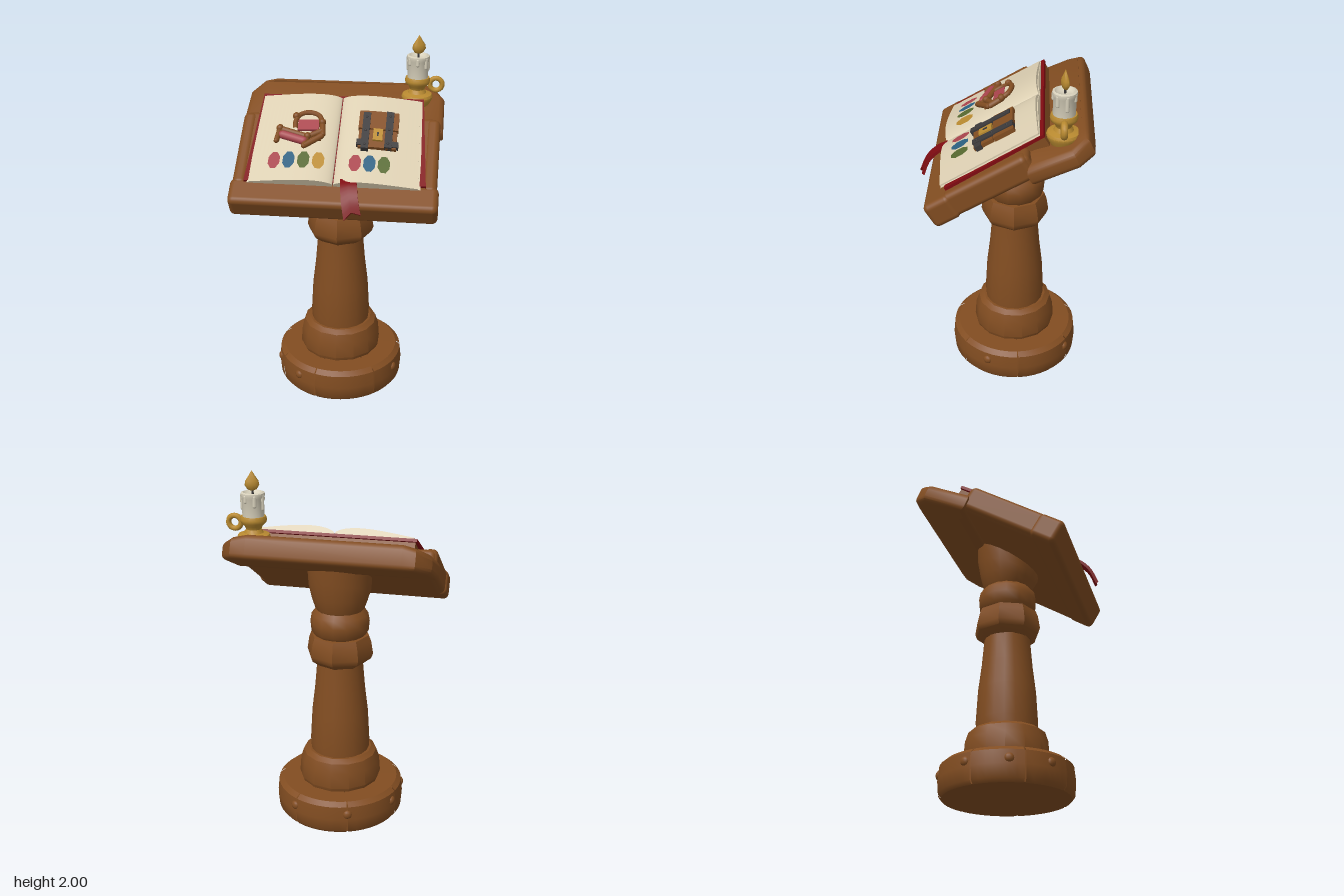
import * as THREE from 'three';
import { toCreasedNormals } from 'three/addons/utils/BufferGeometryUtils.js';
import { RoundedBoxGeometry } from 'three/addons/geometries/RoundedBoxGeometry.js';

const mat = (name, color) => {
  const m = new THREE.MeshStandardMaterial({ color });
  m.name = name;
  return m;
};
const V = (x, y, z) => new THREE.Vector3(x, y, z);
const rad = THREE.MathUtils.degToRad;
const shape = pts => new THREE.Shape(pts.map(p => new THREE.Vector2(...p)));

export function createModel() {
  const wood = mat('wood', 0x824d21);
  const paper = mat('paper', 0xdacdb0);
  const wax = mat('wax', 0xd6cfba);
  const red = mat('coverRed', 0x800b11);
  const gold = mat('gold', 0xb98a30);
  const iron = mat('iron', 0x3b393a);
  const rose = mat('rose', 0xa8434b);
  const blue = mat('blue', 0x2a5f80);
  const green = mat('green', 0x56682f);

  const model = new THREE.Group();
  model.name = 'lectern';
  const add = (parent, name, geo, material, x = 0, y = 0, z = 0) => {
    const m = new THREE.Mesh(geo, material);
    m.name = name;
    m.position.set(x, y, z);
    parent.add(m);
    return m;
  };
  const lathe = (pts, segs, crease = 40, start = 0, len = 360) => toCreasedNormals(
    new THREE.LatheGeometry(pts.map(p => new THREE.Vector2(...p)), segs, rad(start), rad(len)), rad(crease));
  const group = (name, parent, x, y, z, tilt = 0) => {
    const g = new THREE.Group();
    g.name = name;
    g.position.set(x, y, z);
    g.rotation.x = rad(tilt);
    parent.add(g);
    return g;
  };

  // Pedestal: a foot of separate planks round a core, then stacked turned parts
  const stand = group('pedestal', model, 0, 0, -0.055);
  add(stand, 'footCore', lathe([[0, 0.004], [0.34, 0.004], [0.35, 0.09], [0.334, 0.172], [0, 0.18]], 36), wood);
  const seams = [-18, 39, 95, 150, 200, 255, 300, 342];
  for (let i = 0; i < seams.length - 1; i++) {
    const len = seams[i + 1] - seams[i] - 1.2;
    add(stand, 'footPlank', lathe([[0, 0], [0.34, 0], [0.356, 0.02], [0.362, 0.09], [0.354, 0.165],
      [0.328, 0.187], [0, 0.192]], 7, 35, seams[i] + 0.6, len), wood);
  }
  for (const a of [-36, 66, 148, 200, 249, 287]) {
    const stud = add(stand, 'footStud', new THREE.SphereGeometry(0.026, 12, 8), wood,
      0.353 * Math.sin(rad(a)), 0.12, 0.353 * Math.cos(rad(a)));
    stud.rotation.y = rad(a);
    stud.scale.z = 0.7;
  }
  add(stand, 'plinth', lathe([[0.22, 0.18], [0.232, 0.21], [0.225, 0.3], [0.208, 0.352], [0.18, 0.372], [0, 0.375]], 14, 32), wood);
  add(stand, 'shaft', lathe([[0.165, 0.36], [0.168, 0.42], [0.158, 0.6], [0.14, 0.75], [0.125, 0.93]], 18, 45), wood);
  add(stand, 'lowerCollar', lathe([[0, 0.892], [0.135, 0.898], [0.176, 0.93], [0.187, 0.96], [0.176, 1.03], [0.163, 1.065], [0, 1.075]], 8, 32), wood);
  add(stand, 'upperCollar', lathe([[0, 1.055], [0.135, 1.06], [0.158, 1.085], [0.163, 1.14], [0.155, 1.185], [0.13, 1.212], [0, 1.215]], 14, 45), wood);
  // The neck flares and its rim follows the slope of the desk
  const neckGeo = new THREE.LatheGeometry([[0.115, 1.19], [0.136, 1.22], [0.154, 1.27], [0.17, 1.33], [0.176, 1.41]]
    .map(p => new THREE.Vector2(...p)), 20);
  const np = neckGeo.attributes.position;
  for (let i = 0; i < np.count; i++) {
    const k = Math.max(0, (np.getY(i) - 1.22) / 0.19);
    np.setY(i, np.getY(i) - np.getZ(i) * 0.6 * k);
  }
  neckGeo.computeVertexNormals();
  add(stand, 'neck', neckGeo, wood);

  // Sloping desk; local y is the normal of the slope, local z runs down it
  const desk = group('desk', model, 0, 1.53, 0, 31);
  add(desk, 'deskBoard', new RoundedBoxGeometry(1.05, 0.138, 0.5, 3, 0.03), wood, 0, -0.072, 0.11);
  add(desk, 'bookRest', new THREE.BoxGeometry(0.86, 0.1, 0.3), wood, 0, -0.053, -0.09);
  for (const s of [-1, 1])
    add(desk, 'sideRail', new RoundedBoxGeometry(0.075, 0.14, 0.48, 3, 0.03), wood, s * 0.497, -0.066, 0.11);
  add(desk, 'frontLedge', new RoundedBoxGeometry(1.09, 0.142, 0.155, 3, 0.03), wood, 0, -0.069, 0.387);

  // Thick head board with cut corners and a top that falls away at both ends
  const head = group('headBoard', model, 0, 1.572, -0.288, 24.5);
  const outline = shape([[-0.52, -0.142], [-0.41, -0.142], [0.41, -0.142], [0.52, -0.142], [0.518, 0.07], [0.465, 0.135],
    [0.4, 0.14], [-0.4, 0.14], [-0.455, 0.135], [-0.513, 0.07]]);
  const headGeo = new THREE.ExtrudeGeometry(outline, { depth: 0.076, bevelThickness: 0.027, bevelSize: 0.03, bevelSegments: 3 });
  headGeo.rotateX(-Math.PI / 2).translate(0, -0.039, 0);
  const hp = headGeo.attributes.position;
  for (let i = 0; i < hp.count; i++)
    if (hp.getY(i) > 0) hp.setY(i, hp.getY(i) - 0.25 * Math.max(0, Math.abs(hp.getX(i)) - 0.41));
  add(head, 'headPlank', toCreasedNormals(headGeo, rad(40)), wood);

  // Open book: cover, then page blocks with a curved top
  const book = group('book', desk, 0, 0, 0);
  const cover = shape([[-0.47, -0.337], [0.477, -0.325], [0.438, 0.245], [-0.438, 0.245]]);
  const coverGeo = new THREE.ExtrudeGeometry(cover, { depth: 0.016, bevelEnabled: false });
  add(book, 'cover', coverGeo.rotateX(-Math.PI / 2), red);
  const pageH = x => 0.022 + 0.037 * Math.sin(Math.PI * Math.pow(Math.min(1, Math.abs(x) / 0.45), 0.58));
  const pageBlock = (side, grow, lift) => {
    const g = new THREE.BoxGeometry(1, 1, 1, 28, 1, 1);
    const p = g.attributes.position;
    for (let i = 0; i < p.count; i++) {
      const u = Math.pow(0.5 + side * p.getX(i), 1.5); // 0 at the gutter, 1 at the outer edge
      const t = p.getZ(i) + 0.5;
      const x = side * (0.003 + u * (0.417 + 0.018 * t + grow));
      p.setXYZ(i, x, p.getY(i) > 0 ? pageH(x) * lift : 0.012, -0.222 - grow * 0.4 + t * (0.572 + grow * 0.4));
    }
    g.computeVertexNormals();
    return g;
  };
  for (const s of [-1, 1]) {
    add(book, 'pages', pageBlock(s, 0, 1), paper);
    add(book, 'lowerPages', pageBlock(s, 0.012, 0.7), paper);
  }

  // Pictures: every piece is bent to lie on the page curve
  const onPage = (name, geo, material) => {
    const p = geo.attributes.position;
    for (let i = 0; i < p.count; i++) p.setY(i, p.getY(i) + pageH(p.getX(i)));
    add(book, name, geo, material);
  };
  const slab = (name, x0, x1, z0, z1, h, material) => {
    const g = new THREE.BoxGeometry(x1 - x0, h + 0.012, z1 - z0, 5, 1, 1);
    onPage(name, g.translate((x0 + x1) / 2, h / 2 - 0.006, (z0 + z1) / 2), material);
  };
  const rod = (name, a, b, r, material) => {
    const from = V(a[0], 0.012, a[1]), d = V(b[0], 0.012, b[1]).sub(from);
    const g = new THREE.CapsuleGeometry(r, d.length(), 3, 8);
    g.applyQuaternion(new THREE.Quaternion().setFromUnitVectors(V(0, 1, 0), d.clone().normalize()));
    onPage(name, g.translate(...from.addScaledVector(d, 0.5).toArray()), material);
  };
  const dab = (x, z, material) => {
    const g = new THREE.CircleGeometry(1.08, 8).rotateX(-Math.PI / 2).rotateY(Math.PI / 8);
    onPage('paintDab', g.scale(0.031, 1, 0.051).translate(x, 0.004, z), material);
  };
  [rose, blue, green, gold].forEach((m, i) => dab(-0.32 + i * 0.078, 0.223, m));
  [rose, blue, green].forEach((m, i) => dab(0.106 + i * 0.075, 0.23, m));

  // Armchair picture
  const knobs = [[-0.232, -0.055], [-0.088, -0.018], [-0.312, 0.022], [-0.157, 0.08]];
  for (const [x, z] of knobs)
    onPage('chairKnob', new THREE.SphereGeometry(0.02, 10, 8).translate(x, 0.018, z), wood);
  const arch = new THREE.CatmullRomCurve3([[-0.228, 0.03], [-0.232, -0.02], [-0.218, -0.058], [-0.185, -0.077], [-0.15, -0.078], [-0.108, -0.06], [-0.088, -0.018]]
    .map(([x, z]) => V(x, 0.014, z)));
  onPage('chairArch', new THREE.TubeGeometry(arch, 24, 0.014, 8), wood);
  slab('chairBack', -0.215, -0.11, -0.065, -0.03, 0.012, paper);
  slab('chairBackCushion', -0.217, -0.104, -0.032, 0.035, 0.016, rose);
  slab('chairSide', -0.155, -0.085, 0.055, 0.095, 0.012, wood);
  rod('chairSeat', [-0.295, 0.062], [-0.175, 0.107], 0.023, rose);
  for (const [a, b] of [[knobs[2], knobs[3]], [knobs[2], [-0.322, 0.098]], [knobs[3], [-0.17, 0.138]],
    [knobs[3], [-0.085, 0.037]], [knobs[1], [-0.08, 0.055]], [[-0.165, 0.135], [-0.085, 0.07]]])
    rod('chairRail', a, b, 0.016, wood);

  // Treasure chest picture
  slab('chestLid', 0.107, 0.316, -0.1, 0.016, 0.024, wood);
  slab('chestBody', 0.112, 0.312, 0.022, 0.135, 0.02, wood);
  for (const [x, z] of [[0.128, -0.085], [0.25, -0.1]]) {
    slab('chestStrap', x, x + 0.039, z, z + 0.235, 0.03, iron);
    for (const k of [0.03, 0.12, 0.21])
      onPage('chestRivet', new THREE.SphereGeometry(0.007, 8, 6).translate(x + 0.019, 0.03, z + k), iron);
  }
  for (const x of [0.104, 0.272]) slab('chestCorner', x, x + 0.05, 0.09, 0.126, 0.026, iron);
  slab('chestLock', 0.188, 0.238, 0.02, 0.095, 0.032, gold);
  slab('keyhole', 0.208, 0.217, 0.045, 0.07, 0.035, iron);

  // Thick ribbon bookmark with a notched end, hanging over the ledge
  const path = new THREE.CatmullRomCurve3([V(0.08, 1.4, 0.3), V(0.086, 1.385, 0.345), V(0.097, 1.33, 0.405), V(0.115, 1.25, 0.44)]);
  const ribbon = new THREE.BoxGeometry(1, 1, 1, 2, 10, 1);
  const rp = ribbon.attributes.position;
  for (let i = 0; i < rp.count; i++) {
    const x = rp.getX(i), t = (0.5 - rp.getY(i)) * (Math.abs(x) < 0.1 ? 0.9 : 1);
    const c = path.getPoint(t), w = rp.getZ(i) * 0.016;
    rp.setXYZ(i, c.x + x * 0.085, c.y + x * 0.025 * t + w * 0.6, c.z - x * 0.02 * t + w * 0.8);
  }
  ribbon.computeVertexNormals();
  add(model, 'ribbon', ribbon, red);

  // Candle in a brass holder
  const candle = group('candleHolder', model, 0.396, 0, -0.301);
  add(candle, 'holder', lathe([[0, 1.59], [0.06, 1.6], [0.082, 1.64], [0.086, 1.657], [0.08, 1.67], [0.05, 1.678], [0.04, 1.698],
    [0.046, 1.715], [0.066, 1.733], [0.07, 1.75], [0.064, 1.766], [0, 1.763]], 24), gold);
  const handle = add(candle, 'handle', new THREE.TorusGeometry(0.034, 0.014, 8, 20), gold, 0.101, 1.727, 0);
  handle.scale.z = 1.25;
  add(candle, 'waxColumn', lathe([[0.056, 1.755], [0.057, 1.86], [0.063, 1.872], [0.061, 1.886], [0.05, 1.89], [0.038, 1.876], [0, 1.874]], 20, 50), wax);
  for (let i = 0; i < 7; i++) {
    const a = i * 0.9, len = 0.025 + 0.02 * (i % 3);
    add(candle, 'waxDrip', new THREE.CapsuleGeometry(0.011, len, 4, 8), wax,
      0.054 * Math.sin(a), 1.872 - len / 2, 0.054 * Math.cos(a));
  }
  add(candle, 'wick', new THREE.CylinderGeometry(0.006, 0.006, 0.045, 6), iron, 0, 1.89, 0);
  const flame = add(candle, 'flame', lathe([[0, 0], [0.024, 0.01], [0.038, 0.032], [0.034, 0.053], [0.016, 0.08], [0, 0.107]], 14, 60), gold, 0.002, 1.893, 0);
  flame.scale.z = 0.5;
  flame.rotation.y = rad(20);

  return model;
}
